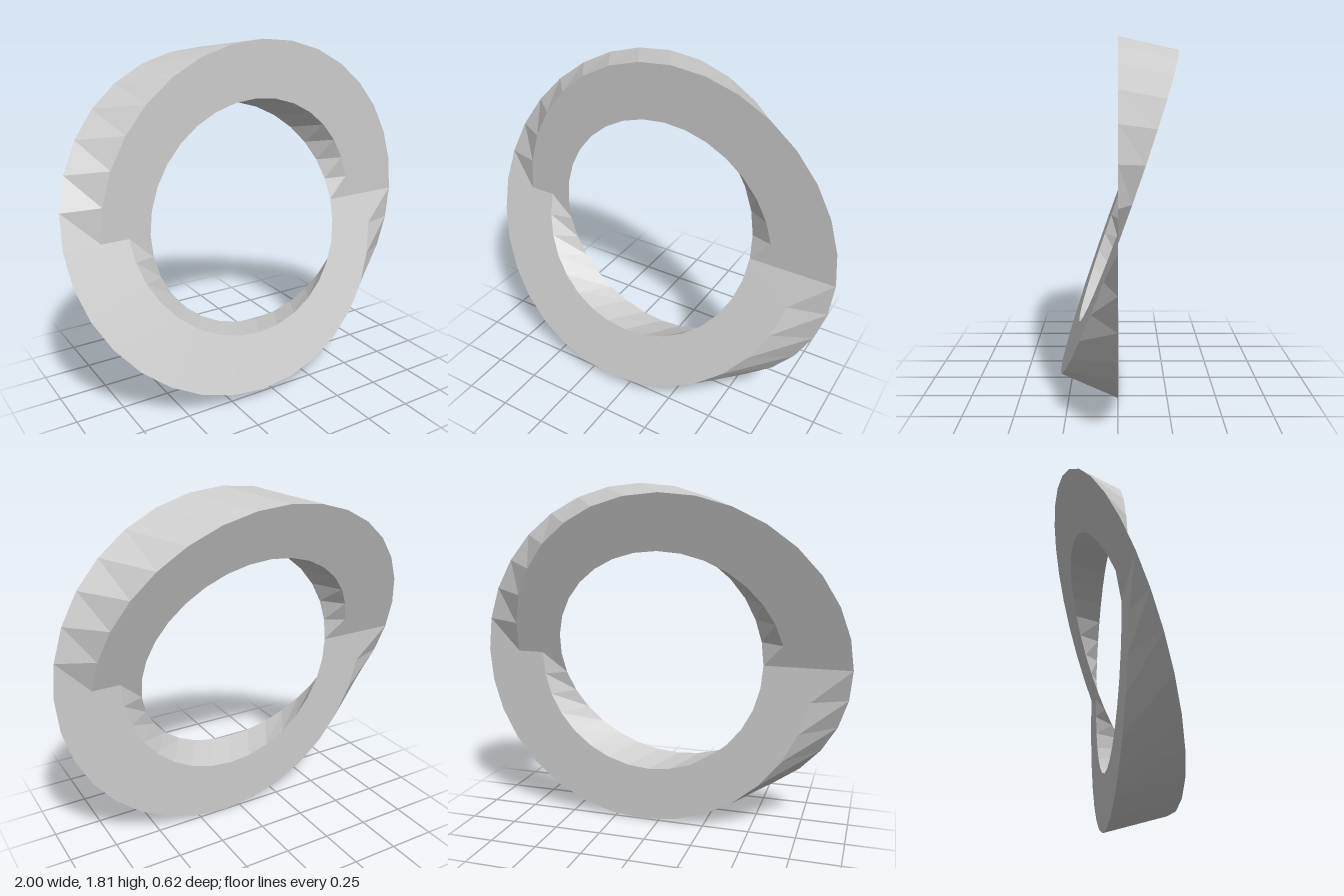
import * as THREE from 'three';

const SEGMENTS = 32;
const TILT = THREE.MathUtils.degToRad(20);
const CENTRE_Y = 0.91;

// Circle of points, shifted along x and tilted about the x axis
function circle(radius, shift, tilt) {
  const axis = new THREE.Vector3(1, 0, 0);
  return Array.from({ length: SEGMENTS }, (_, i) => {
    const a = (i / SEGMENTS) * Math.PI * 2;
    return new THREE.Vector3(shift + radius * Math.cos(a), radius * Math.sin(a), 0)
      .applyAxisAngle(axis, tilt);
  });
}

// Band of triangle pairs joining two closed loops
function band(a, b) {
  const points = [];
  for (let i = 0; i < SEGMENTS; i++) {
    const j = (i + 1) % SEGMENTS;
    points.push(a[i], a[j], b[i], a[j], b[j], b[i]);
  }
  const geometry = new THREE.BufferGeometry().setFromPoints(points);
  geometry.computeVertexNormals();
  return geometry;
}

export function createModel() {
  const group = new THREE.Group();
  group.name = 'twistedRing';
  const material = new THREE.MeshStandardMaterial({
    color: 0xcccccc, flatShading: true, side: THREE.DoubleSide,
  });

  // Upright and tilted rings cross on the horizontal centre line
  const uprightOuter = circle(0.907, 0.093, 0);
  const uprightInner = circle(0.614, 0.057, 0);
  const tiltedOuter = circle(0.907, -0.093, -TILT);
  const tiltedInner = circle(0.614, -0.057, -TILT);

  const parts = {
    uprightFace: band(uprightOuter, uprightInner),
    tiltedFace: band(tiltedInner, tiltedOuter),
    outerWall: band(uprightOuter, tiltedOuter),
    innerWall: band(uprightInner, tiltedInner),
  };
  for (const [name, geometry] of Object.entries(parts)) {
    const mesh = new THREE.Mesh(geometry, material);
    mesh.name = name;
    mesh.position.y = CENTRE_Y;
    group.add(mesh);
  }
  return group;
}
